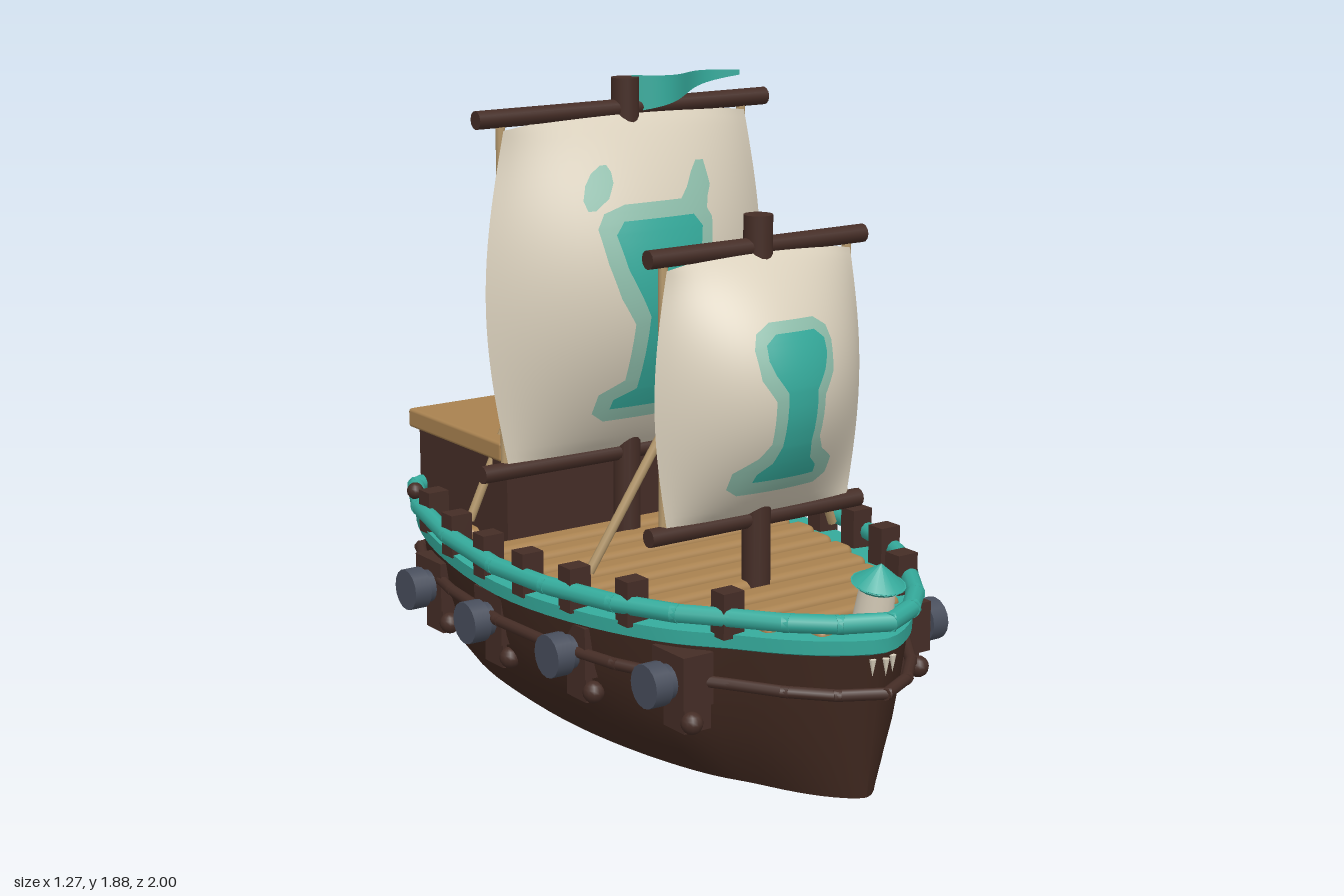
import * as THREE from 'three';
import { toCreasedNormals } from 'three/addons/utils/BufferGeometryUtils.js';
import { RoundedBoxGeometry } from 'three/addons/geometries/RoundedBoxGeometry.js';

const paint = (name, color, side = THREE.FrontSide) => {
  const m = new THREE.MeshStandardMaterial({ color, side });
  m.name = name;
  return m;
};
const V = (x, y, z) => new THREE.Vector3(x, y, z);

// Half of the deck outline, bow to stern, as [x, z]
const HALF = [[0, .95], [.12, .89], [.22, .79], [.31, .66], [.4, .54], [.48, .36], [.54, .12], [.56, -.12],
  [.535, -.42], [.48, -.68], [.4, -.84], [.17, -.94], [0, -.95]];
const LOOP = [...HALF, ...HALF.slice(1, -1).reverse().map(([x, z]) => [-x, z])];
const sheer = z => (z < 0 ? .07 : .015) * z * z;

function halfWidth(z) {
  for (let i = 1; i < HALF.length; i++) {
    const [x0, z0] = HALF[i - 1], [x1, z1] = HALF[i];
    if (z <= z0 && z >= z1) return x0 + (x1 - x0) * (z0 - z) / (z0 - z1);
  }
  return 0;
}

// Grid surface through rows of points; closed joins each row's ends
function surface(rows, closed) {
  const n = rows[0].length, index = [];
  for (let i = 0; i < rows.length - 1; i++) {
    for (let j = 0; j < (closed ? n : n - 1); j++) {
      const a = i * n + j, b = i * n + (j + 1) % n;
      index.push(a, b, a + n, b, b + n, a + n);
    }
  }
  const g = new THREE.BufferGeometry().setFromPoints(rows.flat());
  g.setIndex(index);
  g.computeVertexNormals();
  return g;
}

// Loft of the outline through levels of [y, x scale, z scale]
function loft(levels) {
  const curve = new THREE.CatmullRomCurve3(LOOP.map(([x, z]) => V(x, 0, z)), true, 'centripetal');
  const ring = curve.getPoints(72).slice(0, 72);
  return toCreasedNormals(surface(levels.map(([y, sx, sz]) =>
    ring.map(p => V(p.x * sx, y + sheer(p.z * sz) * Math.min(1, y / .4), p.z * sz))), true), .6);
}

export function createModel() {
  const ship = new THREE.Group();
  ship.name = 'sailingShip';
  const hullBrown = paint('hull brown', 0x40281f);
  const timber = paint('dark timber', 0x452d26);
  const plankTan = paint('plank tan', 0xa98250);
  const ropeTan = paint('rope tan', 0xb89b6e);
  const teal = paint('teal', 0x35ab9c, THREE.DoubleSide);
  const canvas = paint('canvas', 0xdbd1bd, THREE.DoubleSide);
  const paleTeal = paint('pale teal', 0x8fbfac, THREE.DoubleSide);
  const iron = paint('iron', 0x484e5c);
  const glass = paint('window glass', 0x33485a);

  const add = (name, geo, mat, x = 0, y = 0, z = 0, parent = ship) => {
    const m = new THREE.Mesh(geo, mat);
    m.name = name;
    m.position.set(x, y, z);
    parent.add(m);
    return m;
  };
  const box = (name, w, h, d, mat, x, y, z) => add(name, new THREE.BoxGeometry(w, h, d), mat, x, y, z);
  const beam = (name, a, b, r, mat, sides = 12) => {
    const m = add(name, new THREE.CylinderGeometry(r, r, a.distanceTo(b), sides), mat);
    m.position.copy(a).lerp(b, .5);
    m.quaternion.setFromUnitVectors(V(0, 1, 0), b.clone().sub(a).normalize());
    return m;
  };

  // Hull with flat keel and teal gunwale
  add('hull', loft([[0, .01, .01], [0, .62, .93], [.08, .76, .94], [.18, .89, .955], [.3, .96, .975],
    [.44, 1, 1], [.44, .01, .01]]), hullBrown);
  add('gunwale', loft([[.425, 1, 1], [.43, 1.025, 1.01], [.47, 1.03, 1.012], [.475, .87, .93],
    [.43, .87, .93], [.425, 1, 1]]), teal);

  // Segmented rails following the outline
  const rail = (name, s, height, r, mat) => {
    const pts = LOOP.map(([x, z]) => V(x * s, height(z), z * (1 + (s - 1) * .7)));
    pts.forEach((p, i) => {
      const q = pts[(i + 1) % pts.length], over = q.clone().sub(p).setLength(.012);
      beam(name, p.clone().sub(over), q.clone().add(over), r, mat, 10);
    });
  };
  rail('upperRail', 1.03, z => .52 + sheer(z), .027, teal);
  rail('hullStrake', 1.015, z => .35 - .025 * z, .017, timber);

  // Deck planks
  for (let i = 0; i < 13; i++) {
    const z = .81 - i * .115;
    const w = 2 * (halfWidth(z) - .035 - .05 * Math.min(1, halfWidth(z) / .5)) + (i % 2) * .03;
    add('deckPlank', new RoundedBoxGeometry(w, .05, .085, 3, .022), plankTan, 0, .478, z);
  }

  // Rail posts, guns and their brackets on both sides
  for (const s of [-1, 1]) {
    for (const z of [.65, .4, .2, 0, -.21, -.42, -.63]) {
      box('railPost', .07, .13, .06, timber, s * (halfWidth(z) - .01), .525 + sheer(z), z);
    }
    add('railKnob', new THREE.SphereGeometry(.026, 12, 8), timber, s * .5, .6, -.71);
    [[.555, .41], [.19, .49], [-.2, .525], [-.58, .505]].forEach(([z, x]) => {
      box('gunPort', .1, .15, .15, timber, s * (x - .02), .345, z);
      beam('gunBarrel', V(s * x, .335, z), V(s * (x + .1), .335, z), .05, iron, 16);
      beam('gunMuzzle', V(s * (x + .055), .335, z), V(s * (x + .11), .335, z), .063, iron, 16);
      box('gunBracket', .09, .08, .1, timber, s * (x - .035), .23, z);
      add('bracketPeg', new THREE.SphereGeometry(.032, 12, 8), timber, s * (x - .005), .225, z + .065);
    });
  }

  // Stern cabin with roof and windows
  box('cabin', .76, .32, .52, timber, 0, .6, -.625);
  add('cabinRoof', new RoundedBoxGeometry(.82, .06, .55, 2, .01), plankTan, 0, .782, -.628);
  for (const x of [-.24, 0, .24]) {
    box('windowFrame', .15, .13, .03, teal, x, .665, -.89);
    box('windowPane', .09, .08, .008, glass, x, .665, -.907);
  }

  // Stern lantern
  box('lanternGlow', .1, .17, .1, ropeTan, 0, .945, -.855);
  for (const y of [.855, 1.035]) box('lanternPlate', .135, .03, .135, timber, 0, y, -.855);
  for (const x of [-.055, .055]) for (const z of [-.91, -.8]) {
    box('lanternPost', .024, .17, .024, timber, x, .945, z);
  }

  // Mast with yards, curved sail, painted emblem and ropes
  function rig(o) {
    beam('mast', V(0, .42, o.z), V(0, o.top, o.z), .042, timber, 16);
    for (const y of [o.upper, o.lower]) beam('yard', V(-o.yard, y, o.z), V(o.yard, y, o.z), .027, timber);
    for (const s of [-1, 1]) {
      beam('stayRope', V(0, o.upper - .05, o.z - .03), V(s * .44, .55, o.z - .2), .014, ropeTan, 8);
      beam('sailRope', V(s * o.sail, o.lower, o.z - .005), V(s * o.sail, o.upper, o.z - .005), .014, ropeTan, 8);
    }
    const y0 = o.lower + .015, y1 = o.upper - .035;
    const point = (x, y, lift = 0) => {
      const v = (y - y0) / (y1 - y0), swell = Math.sin(Math.PI * Math.min(1, Math.max(0, v)));
      const u = x / o.sail, f = 1 - u * u;
      return V(x * (1 + o.flare * swell), y + .03 * v * f, o.z + .012 + o.depth * Math.pow(swell, .85) * f + lift);
    };
    const rows = Array.from({ length: 41 }, (_, i) => Array.from({ length: 31 }, (_, j) =>
      point(o.sail * (j / 15 - 1), y0 + (y1 - y0) * i / 40)));
    add('sail', surface(rows), canvas);
    // Thin painted patches from [y, left, right] rows, on both faces
    const patch = (name, spans, lift, mat) => {
      const fine = [];
      spans.forEach(([y, l, r], i) => {
        const [Y, L, R] = spans[i + 1] || [y, l, r];
        const steps = i < spans.length - 1 ? 4 : 1;
        for (let k = 0; k < steps; k++) {
          const t = k / steps;
          fine.push([y + (Y - y) * t, l + (L - l) * t, r + (R - r) * t]);
        }
      });
      for (const s of [1, -1]) {
        add(name, surface(fine.map(([y, l, r]) =>
          Array.from({ length: 13 }, (_, j) => point(l + (r - l) * j / 12, y, s * lift)))), mat);
      }
    };
    const even = list => list.map(([y, w]) => [y, -w, w]);
    patch('emblemEdge', even(o.edge), .004, paleTeal);
    patch('emblem', even(o.mark), .007, teal);
    (o.lobes || []).forEach(l => patch('emblemLobe', l, .004, paleTeal));
  }
  rig({ z: .37, top: 1.56, upper: 1.47, lower: .685, yard: .375, sail: .32, flare: .13, depth: .2,
    edge: [[.785, .13], [.81, .165], [.86, .16], [.9, .1], [.94, .075], [1.06, .075], [1.12, .11], [1.2, .12],
      [1.24, .11], [1.265, .07]],
    mark: [[.825, .1], [.85, .095], [.88, .06], [.93, .045], [1.08, .045], [1.13, .075], [1.17, .09],
      [1.21, .09], [1.235, .06]] });
  rig({ z: -.285, top: 1.88, upper: 1.79, lower: .745, yard: .515, sail: .43, flare: .16, depth: .205,
    edge: [[.87, .14], [.9, .18], [.96, .17], [1.0, .1], [1.17, .09], [1.25, .13], [1.35, .16], [1.45, .18],
      [1.49, .16], [1.51, .1]],
    mark: [[.91, .13], [.94, .125], [.97, .06], [1.19, .05], [1.25, .075], [1.33, .11], [1.43, .135],
      [1.465, .11]],
    lobes: [[[1.5, -.2, -.18], [1.53, -.21, -.14], [1.57, -.2, -.12], [1.6, -.18, -.12], [1.62, -.15, -.13]],
      [[1.46, .05, .16], [1.51, .08, .18], [1.54, .11, .2], [1.58, .14, .2], [1.61, .17, .2]]] });

  // Waving pennant at the main masthead
  const flag = Array.from({ length: 5 }, (_, i) => Array.from({ length: 25 }, (_, j) => {
    const t = j / 24, low = 1.775 + .085 * t;
    return V(.02 + .4 * t, low + (1.885 - .01 * t - low) * i / 4, -.28 + .05 * Math.sin(t * 6.2) * (1 - .2 * t));
  }));
  add('pennant', surface(flag), teal);

  // Capped bow post leaning forward, with small teeth beneath
  const bow = new THREE.Group();
  bow.name = 'bowPost';
  bow.position.set(0, .52, .895);
  bow.rotation.x = .2;
  ship.add(bow);
  add('bowPostShaft', new THREE.CylinderGeometry(.048, .056, .13, 16), canvas, 0, .06, 0, bow);
  add('bowPostCap', new THREE.ConeGeometry(.076, .06, 16), teal, 0, .14, 0, bow);
  add('bowPostRim', new THREE.CylinderGeometry(.076, .06, .015, 16), teal, 0, .105, 0, bow);
  for (const x of [-.035, 0, .035]) {
    add('bowTooth', new THREE.ConeGeometry(.01, .05, 8), canvas, x, .4, .955 - Math.abs(x) * .4).rotation.x = Math.PI;
  }
  return ship;
}
